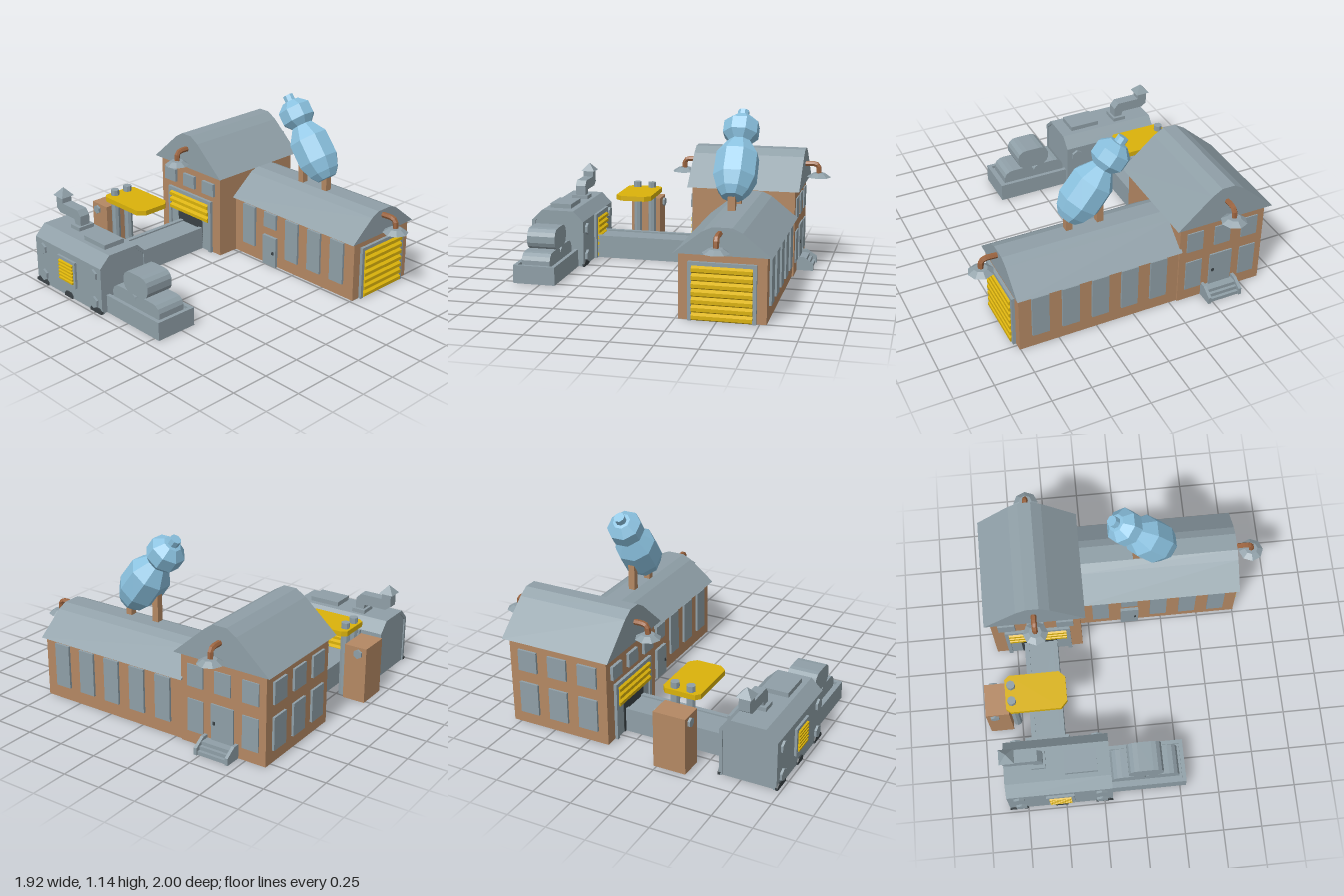
import * as THREE from 'three';

const make = (name, color, extra = {}) => {
  const m = new THREE.MeshStandardMaterial({ color, flatShading: true, ...extra });
  m.name = name;
  return m;
};

export function createModel() {
  const model = new THREE.Group();
  const grey = make('grey metal', 0x8f9fa7);
  const brown = make('brown brick', 0xb48863, { side: THREE.DoubleSide });
  const yellow = make('yellow paint', 0xdab20a);
  const blue = make('blue glass', 0x8bc2e0);
  const dark = make('dark iron', 0x3a4246);
  const copper = make('copper pipe', 0x9c643f);

  const add = (name, geo, mat, parent = model) => {
    const m = new THREE.Mesh(geo, mat);
    m.name = name;
    parent.add(m);
    return m;
  };
  // Box given by its extents
  const box = (name, mat, x0, x1, y0, y1, z0, z1, parent) => {
    const m = add(name, new THREE.BoxGeometry(x1 - x0, y1 - y0, z1 - z0), mat, parent);
    m.position.set((x0 + x1) / 2, (y0 + y1) / 2, (z0 + z1) / 2);
    return m;
  };
  // Box without its bottom face
  const openBox = (...args) => {
    const geo = box(...args).geometry;
    const index = Array.from(geo.index.array);
    index.splice(18, 6);
    geo.setIndex(index);
    geo.clearGroups();
  };
  const poly = pts => new THREE.Shape(pts.map(p => new THREE.Vector2(...p)));
  const extrude = (pts, depth) => new THREE.ExtrudeGeometry(poly(pts), { depth, bevelEnabled: false });
  // Profile of [x, y] pushed along z
  const alongZ = (name, mat, pts, z0, z1) => {
    const m = add(name, extrude(pts, z1 - z0), mat);
    m.position.z = z0;
    return m;
  };
  // Profile of [z, y] pushed along x
  const alongX = (name, mat, pts, x0, x1, parent) => {
    const m = add(name, extrude(pts.map(([z, y]) => [-z, y]), x1 - x0), mat, parent);
    m.rotation.y = Math.PI / 2;
    m.position.x = x0;
    return m;
  };
  const roofProfile = (c, w, y, h, knee, ridge) => [
    [c - w, y], [c + w, y], [c + w * knee, y + h * 0.83], [c + w * ridge, y + h],
    [c - w * ridge, y + h], [c - w * knee, y + h * 0.83]];

  // Halls and roofs
  openBox('tallHallWalls', brown, -0.885, -0.3, 0, 0.575, -0.8, -0.12);
  alongZ('tallHallRoof', grey, roofProfile(-0.593, 0.327, 0.57, 0.235, 0.33, 0.13), -0.83, -0.09);
  openBox('longHallWalls', brown, -0.3, 0.755, 0, 0.4, -0.79, -0.27);
  alongX('longHallRoof', grey, roofProfile(-0.53, 0.29, 0.395, 0.165, 0.41, 0.2), -0.31, 0.77);

  // Long hall windows and side door
  for (let i = 0; i < 5; i++) {
    const x = -0.16 + i * 0.195;
    box('longBackWindow', grey, x - 0.055, x + 0.055, 0.09, 0.375, -0.805, -0.785);
    if (i !== 1) box('longFrontWindow', grey, x - 0.055, x + 0.055, 0.09, 0.375, -0.275, -0.255);
  }
  box('windowOverDoor', grey, -0.02, 0.09, 0.27, 0.375, -0.275, -0.255);
  box('sideDoor', grey, -0.025, 0.095, 0, 0.21, -0.275, -0.25);
  box('sideDoorKnob', dark, 0.065, 0.08, 0.09, 0.11, -0.255, -0.243);

  // Tall hall windows
  for (const k of [-1, 0, 1]) {
    const x = -0.593 + k * 0.19, z = -0.46 + k * 0.21;
    box('tallFrontWindow', grey, x - 0.055, x + 0.055, 0.42, 0.51, -0.125, -0.1);
    box('tallBackWindow', grey, x - 0.055, x + 0.055, 0.37, 0.51, -0.808, -0.795);
    if (k) box('tallBackLowerWindow', grey, x - 0.055, x + 0.055, 0.08, 0.29, -0.808, -0.795);
    box('tallSideWindow', grey, -0.9, -0.88, 0.37, 0.51, z - 0.065, z + 0.065);
    box('tallSideLowerWindow', grey, -0.9, -0.88, 0.08, 0.29, z - 0.065, z + 0.065);
  }

  // Back door with steps
  box('backDoor', grey, -0.67, -0.515, 0.07, 0.3, -0.81, -0.795);
  box('backDoorKnob', dark, -0.545, -0.53, 0.17, 0.19, -0.816, -0.808);
  for (let i = 0; i < 3; i++)
    box('step', grey, -0.69, -0.48, 0, 0.07 - i * 0.023, -0.86 - i * 0.02, -0.8);
  for (const x of [-0.7, -0.485])
    alongX('stepCheek', grey, [[-0.8, 0], [-0.8, 0.09], [-0.84, 0.09], [-0.91, 0.045], [-0.91, 0]], x, x + 0.02);

  // Louvred shutter in a frame, in local space facing +z; slats hang from y = low to y = high
  const shutter = (name, w, low, high, slats, lintel) => {
    const g = new THREE.Group();
    g.name = name;
    model.add(g);
    const a = w / 2, p = (high - low) / slats;
    const profile = [[0, high], [0, low]];
    for (let i = 0; i < slats; i++) {
      const y = low + i * p;
      profile.push([0.008, y], [0.03, y + p * 0.24], [0.03, y + p * 0.7], [0.008, y + p * 0.98]);
    }
    alongX('shutterSlats', yellow, profile, -a, a, g);
    for (const s of [-1, 1])
      box('shutterJamb', grey, s * (a + lintel / 2) - lintel / 2, s * (a + lintel / 2) + lintel / 2, 0, high, 0, 0.02, g);
    box('shutterLintel', grey, -a - lintel, a + lintel, high, high + lintel, 0, 0.02, g);
    return g;
  };
  const endShutter = shutter('endShutter', 0.36, 0, 0.33, 7, 0.022);
  endShutter.rotation.y = Math.PI / 2;
  endShutter.position.set(0.755, 0, -0.53);
  // Half-raised shutter over the conveyor opening
  shutter('hallShutter', 0.38, 0.21, 0.35, 3, 0.025).position.set(-0.59, 0, -0.12);
  box('openingPanel', grey, -0.78, -0.4, 0, 0.21, -0.12, -0.112);
  box('openingCurtain', dark, -0.71, -0.47, 0, 0.21, -0.125, -0.108);

  // Gooseneck lamps, reaching along local +z from the wall
  const lamp = (x, y, z, turn) => {
    const g = new THREE.Group();
    g.name = 'wallLamp';
    const path = new THREE.CatmullRomCurve3([[0, 0, -0.02], [0, 0, 0.06], [0, -0.012, 0.083], [0, -0.06, 0.09]]
      .map(p => new THREE.Vector3(...p)));
    add('lampPipe', new THREE.TubeGeometry(path, 8, 0.018, 6), copper, g);
    add('lampShade', new THREE.CylinderGeometry(0.042, 0.081, 0.026, 8), grey, g).position.set(0, -0.074, 0.09);
    g.position.set(x, y, z);
    g.rotation.y = turn;
    model.add(g);
  };
  lamp(-0.59, 0.705, -0.09, 0);
  lamp(-0.59, 0.705, -0.83, Math.PI);
  lamp(0.785, 0.525, -0.515, Math.PI / 2);

  // Tilted bottle on two roof posts
  box('bottlePost', brown, 0.08, 0.122, 0.54, 0.8, -0.52, -0.475);
  box('bottlePost', brown, 0.285, 0.327, 0.54, 0.68, -0.52, -0.475);
  const bottle = add('bottle', new THREE.LatheGeometry([
    [0, -0.385], [0.068, -0.38], [0.105, -0.335], [0.138, -0.254], [0.136, -0.096],
    [0.072, 0], [0.114, 0.045], [0.114, 0.125], [0.058, 0.174], [0.036, 0.176], [0.036, 0.218], [0, 0.218],
  ].map(p => new THREE.Vector2(...p)), 8, Math.PI / 8), blue);
  bottle.rotation.z = 0.65;
  bottle.position.set(0.08, 0.942, -0.5);

  // Conveyor, open underneath
  for (const x of [-0.69, -0.5]) box('conveyorRail', grey, x, x + 0.03, 0, 0.155, -0.12, 0.61);
  box('conveyorBelt', grey, -0.66, -0.5, 0.125, 0.145, -0.12, 0.61);

  // Press: brick cabinet, columns and yellow plate
  openBox('pressCabinet', brown, -0.96, -0.81, 0, 0.367, 0.23, 0.44);
  const hex = (name, x, y, z, r, depth) => {
    const m = add(name, new THREE.CylinderGeometry(r, r, depth, 6), grey);
    m.rotation.x = Math.PI / 2;
    m.position.set(x, y, z);
  };
  for (const z of [0.23, 0.44]) hex('cabinetBolt', -0.905, 0.325, z, 0.03, 0.03);
  for (const z of [0.282, 0.386])
    add('pressColumn', new THREE.CylinderGeometry(0.028, 0.028, 0.49, 8), grey).position.set(-0.78, 0.245, z);
  const plate = add('pressPlate', extrude([[-0.82, -0.43], [-0.79, -0.455], [-0.47, -0.455], [-0.43, -0.41],
    [-0.43, -0.25], [-0.47, -0.21], [-0.79, -0.21], [-0.82, -0.235]], 0.033), yellow);
  plate.rotation.x = -Math.PI / 2;
  plate.position.y = 0.42;

  // Furnace shell, open underneath
  const outer = [[0.973, 0], [0.973, 0.31], [0.9, 0.38], [0.68, 0.38], [0.61, 0.31], [0.61, 0]];
  const inner = [[0.63, 0], [0.63, 0.3], [0.69, 0.36], [0.89, 0.36], [0.953, 0.3], [0.953, 0]];
  alongX('furnaceShell', grey, [...outer, ...inner], -0.868, -0.195);
  for (const x of [-0.86, -0.217])
    alongX('furnaceEnd', grey, outer.map(([z, y]) => [0.79 + (z - 0.79) * 0.95, y * 0.98]), x, x + 0.014);
  for (const x of [-0.79, -0.265]) for (const y of [0.25, 0.065]) for (const z of [0.965, 0.615])
    hex('furnaceBolt', x, y, z, 0.04, 0.045);
  for (const [x, w] of [[-0.81, 0.06], [-0.53, 0.04], [-0.25, 0.055]]) for (const z of [0.965, 0.603])
    alongZ('furnaceFoot', dark, [[x - w, 0], [x + w, 0], [x + w, 0.018], [x + w * 0.6, 0.035],
      [x - w * 0.6, 0.035], [x - w, 0.018]], z, z + 0.017);

  // Furnace grilles: front vent and conveyor gate
  box('ventSill', grey, -0.62, -0.44, 0.09, 0.11, 0.968, 0.99);
  const vent = shutter('ventGrille', 0.14, 0, 0.14, 6, 0.02);
  vent.position.set(-0.53, 0.11, 0.969);
  const gate = shutter('furnaceGate', 0.22, 0, 0.28, 7, 0.03);
  gate.rotation.y = Math.PI;
  gate.position.set(-0.58, 0, 0.612);

  // Furnace hatch and bent square chimney
  box('furnaceHatch', grey, -0.483, -0.277, 0.375, 0.41, 0.72, 0.87);
  box('chimneyBase', grey, -0.69, -0.6, 0.375, 0.405, 0.705, 0.82);
  alongZ('chimneyDuct', grey, [[-0.865, 0.55], [-0.865, 0.46], [-0.83, 0.435], [-0.68, 0.435], [-0.67, 0.4],
    [-0.615, 0.4], [-0.615, 0.47], [-0.645, 0.505], [-0.8, 0.505], [-0.8, 0.55]], 0.727, 0.797);
  const cap = add('chimneyCap', new THREE.ConeGeometry(0.068, 0.055, 4), grey);
  cap.rotation.y = Math.PI / 4;
  cap.position.set(-0.833, 0.572, 0.762);

  // Trough with rounded billets
  for (const z of [0.65, 0.905]) box('troughSide', grey, -0.2, 0.29, 0, 0.12, z, z + 0.025);
  box('troughEnd', grey, 0.265, 0.29, 0, 0.12, 0.675, 0.905);
  box('troughFloor', grey, -0.2, 0.265, 0.08, 0.1, 0.675, 0.905);
  const corner = [[0.112, 0.022], [0.1, 0.048], [0.076, 0.066], [0.045, 0.07]];
  const flip = (pts, sx, sy) => pts.map(([x, y]) => [x * sx, y * sy]);
  const back = [...corner].reverse();
  const billet = [...corner, ...flip(back, -1, 1), ...flip(corner, -1, -1), ...flip(back, 1, -1)];
  for (const [x, y] of [[-0.08, 0.122], [0.135, 0.122], [0.03, 0.257]])
    alongZ('billet', grey, billet.map(([u, v]) => [x + u, y + v]), 0.695, 0.885);
  return model;
}
